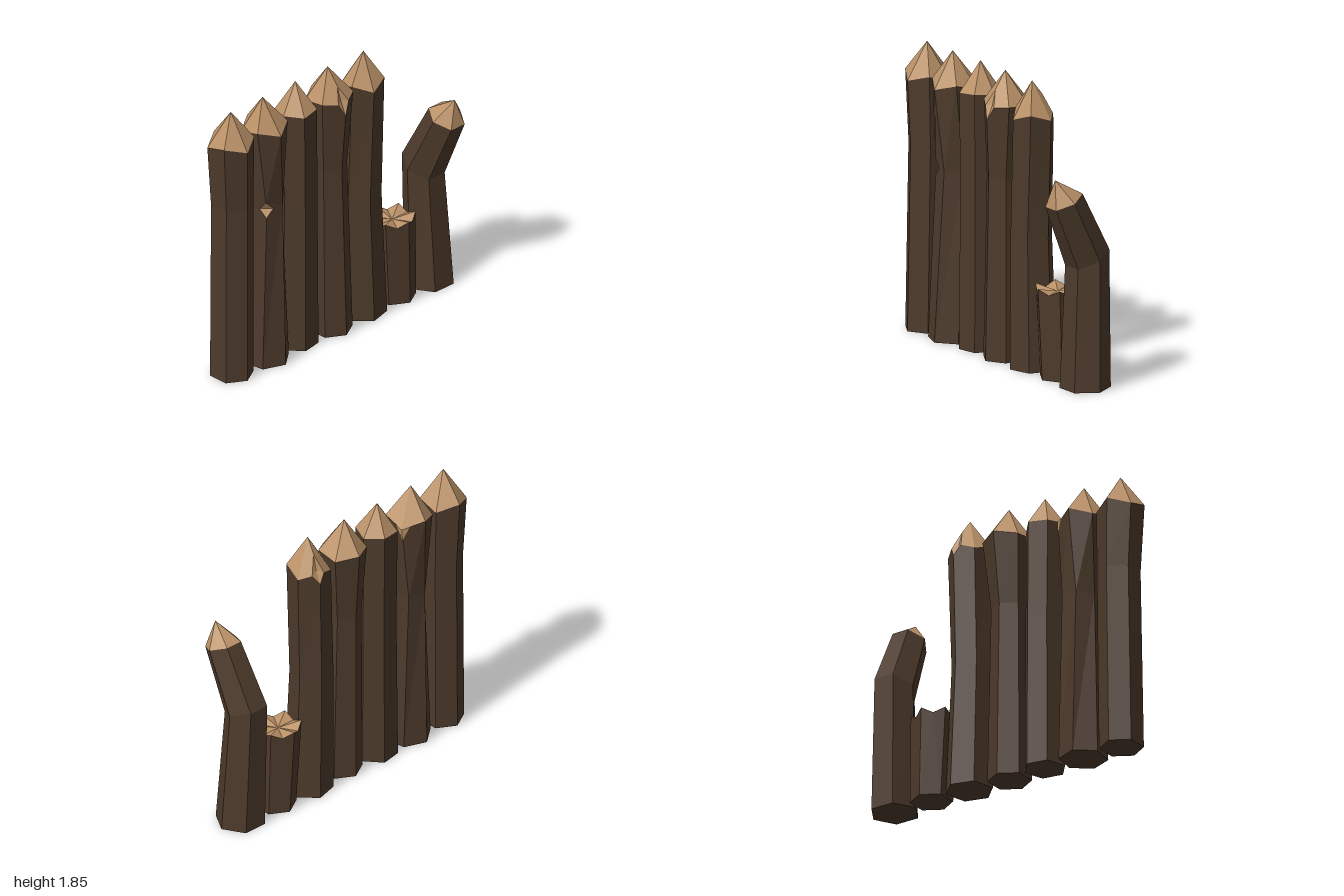
import * as THREE from 'three';

const SIDES = 6;

// Flat-shaded mesh from a list of triangles
function facetMesh(name, triangles, material) {
  const geometry = new THREE.BufferGeometry().setFromPoints(triangles.flat());
  geometry.computeVertexNormals();
  const mesh = new THREE.Mesh(geometry, material);
  mesh.name = name;
  return mesh;
}

const fan = (pts) => pts.slice(2).map((p, k) => [pts[0], pts[k + 1], p]);

// Hexagonal ring; turn is in degrees from +z, slope tilts it along z,
// dip lowers every other corner
function ring({ x, y, z = -0.06, r, turn = 0, slope = 0, dip = 0 }, level) {
  return Array.from({ length: SIDES }, (_, i) => {
    const a = THREE.MathUtils.degToRad(turn + i * 60);
    const dz = r * Math.cos(a);
    const drop = i % 2 === 0 ? dip : 0;
    return { level, chip: null, p: new THREE.Vector3(x + r * Math.sin(a), y + slope * dz - drop, z + dz) };
  });
}

// Point on the edge from a chipped corner towards a neighbouring corner
function cut(v, n) {
  const d = n.level === v.level ? v.chip.side : n.level < v.level ? v.chip.down : v.chip.up;
  return v.p.clone().add(n.p.clone().sub(v.p).setLength(d));
}

// Polygon whose chipped corners are trimmed off
function trimmed(corners) {
  const n = corners.length;
  return fan(corners.flatMap((v, k) => (v.chip
    ? [cut(v, corners[(k + n - 1) % n]), cut(v, corners[(k + 1) % n])]
    : [v.p])));
}

function post(name, sections, tip, chip, bark, wood) {
  const rings = sections.map(ring);
  const last = rings.length - 1;
  const apex = { level: rings.length, chip: null, p: new THREE.Vector3(...tip) };
  if (chip) rings[chip.level][chip.corner].chip = chip;

  const walls = fan(rings[0].map((v) => v.p).reverse());
  const cap = [];
  for (let i = 0; i < SIDES; i++) {
    const j = (i + 1) % SIDES;
    for (let k = 0; k < last; k++) {
      walls.push(...trimmed([rings[k][i], rings[k][j], rings[k + 1][j], rings[k + 1][i]]));
    }
    cap.push(...trimmed([rings[last][i], rings[last][j], apex]));
  }

  const group = new THREE.Group();
  group.name = name;
  group.add(facetMesh('shaft', walls, bark), facetMesh('sharpenedTip', cap, wood));

  // Hollow diamond of bare wood where the corner is chipped away
  if (chip) {
    const { level, corner } = chip;
    const v = rings[level][corner];
    const rim = [
      level === last ? apex : rings[level + 1][corner],
      rings[level][(corner + SIDES - 1) % SIDES],
      rings[level - 1][corner],
      rings[level][(corner + 1) % SIDES],
    ].map((n) => cut(v, n));
    const centre = rim.reduce((s, p) => s.add(p), new THREE.Vector3()).multiplyScalar(0.25);
    const axis = new THREE.Vector3(sections[level].x, centre.y, sections[level].z ?? -0.06);
    centre.add(axis.sub(centre).setLength(0.015));
    group.add(facetMesh('chippedNotch', rim.map((p, k) => [centre, p, rim[(k + 1) % 4]]), wood));
  }
  return group;
}

// Broken post with a jagged star-shaped top
function stump(bark, wood) {
  const low = ring({ x: 0.555, y: 0, z: -0.06, r: 0.135 }, 0).map((v) => v.p);
  const high = ring({ x: 0.53, y: 0.585, z: -0.06, r: 0.15 }, 1).map((v) => v.p);
  const centre = new THREE.Vector3(0.53, 0.55, -0.06);
  const walls = fan([...low].reverse());
  const top = [];
  for (let i = 0; i < SIDES; i++) {
    const j = (i + 1) % SIDES;
    const notch = high[i].clone().lerp(high[j], 0.5).setY(0.55);
    walls.push(...fan([notch, high[i], low[i], low[j], high[j]]));
    top.push([high[i], notch, centre], [notch, high[j], centre]);
  }
  const group = new THREE.Group();
  group.name = 'brokenStump';
  group.add(facetMesh('shaft', walls, bark), facetMesh('splinteredTop', top, wood));
  return group;
}

export function createModel() {
  const bark = new THREE.MeshStandardMaterial({ color: 0x4d3a2b });
  bark.name = 'darkBark';
  const wood = new THREE.MeshStandardMaterial({ color: 0xbb9268 });
  wood.name = 'bareWood';

  const topChip = { level: 2, side: 0.052, down: 0.08, up: 0.13 };
  const posts = [
    { // far right post
      sections: [
        { x: -0.87, y: 0, z: -0.05, r: 0.14 },
        { x: -0.857, y: 1.2, r: 0.136 },
        { x: -0.87, y: 1.655, r: 0.15, dip: 0.04 }],
      tip: [-0.87, 1.85, -0.06],
    },
    { // two notches: one at the bend, one at the back of the tip
      sections: [
        { x: -0.58, y: 0, z: -0.045, r: 0.155, turn: 9 },
        { x: -0.57, y: 1.1, r: 0.12, turn: 20 },
        { x: -0.58, y: 1.66, r: 0.15, dip: 0.04 }],
      tip: [-0.595, 1.85, -0.06],
      chip: { level: 1, corner: 5, side: 0.05, down: 0.055, up: 0.055 },
      extra: { ...topChip, corner: 2 },
    },
    {
      sections: [
        { x: -0.30, y: 0, r: 0.138, turn: -20 },
        { x: -0.298, y: 1.0, r: 0.13, turn: -20 },
        { x: -0.305, y: 1.66, r: 0.132, turn: -20, dip: 0.01 }],
      tip: [-0.305, 1.85, -0.065],
    },
    { // chipped at the front
      sections: [
        { x: -0.02, y: 0, z: -0.04, r: 0.139 },
        { x: -0.03, y: 1.17, z: -0.05, r: 0.118 },
        { x: -0.017, y: 1.65, r: 0.155, dip: 0.02 }],
      tip: [-0.03, 1.85, -0.06],
      chip: { ...topChip, corner: 0 },
    },
    { // chipped at the back
      sections: [
        { x: 0.27, y: 0, r: 0.155, turn: -15 },
        { x: 0.247, y: 0.85, r: 0.137, turn: -15 },
        { x: 0.27, y: 1.655, r: 0.138, turn: -12, dip: 0.045 }],
      tip: [0.27, 1.85, -0.05],
      chip: { ...topChip, corner: 3 },
    },
    { // bent post leaning forward
      name: 'leaningPost',
      sections: [
        { x: 0.84, y: 0, z: -0.05, r: 0.16, turn: 30 },
        { x: 0.82, y: 0.83, z: -0.08, r: 0.138, turn: 30, slope: -0.4 },
        { x: 0.838, y: 1.23, z: 0.11, r: 0.116, turn: 30, slope: -0.4 }],
      tip: [0.84, 1.37, 0.18],
    },
  ];

  const model = new THREE.Group();
  model.name = 'palisade';
  posts.forEach(({ name, sections, tip, chip, extra }, i) => {
    const built = post(name ?? `post${i + 1}`, sections, tip, chip, bark, wood);
    if (extra) {
      // Second notch: a small gouge of bare wood over the rear corner
      const top = ring(sections[2], 2);
      const below = ring(sections[1], 1);
      const v = top[extra.corner];
      v.chip = extra;
      const out = new THREE.Vector3(v.p.x - sections[2].x, 0, v.p.z + 0.06).setLength(0.004);
      const rim = [{ level: 3, p: new THREE.Vector3(...tip) }, top[extra.corner - 1], below[extra.corner], top[extra.corner + 1]]
        .map((n) => cut(v, n).add(out));
      const ridge = v.p.clone().add(out);
      built.add(facetMesh('rearGouge', rim.map((p, k) => [ridge, p, rim[(k + 1) % 4]]), wood));
    }
    model.add(built);
  });
  model.add(stump(bark, wood));
  return model;
}
